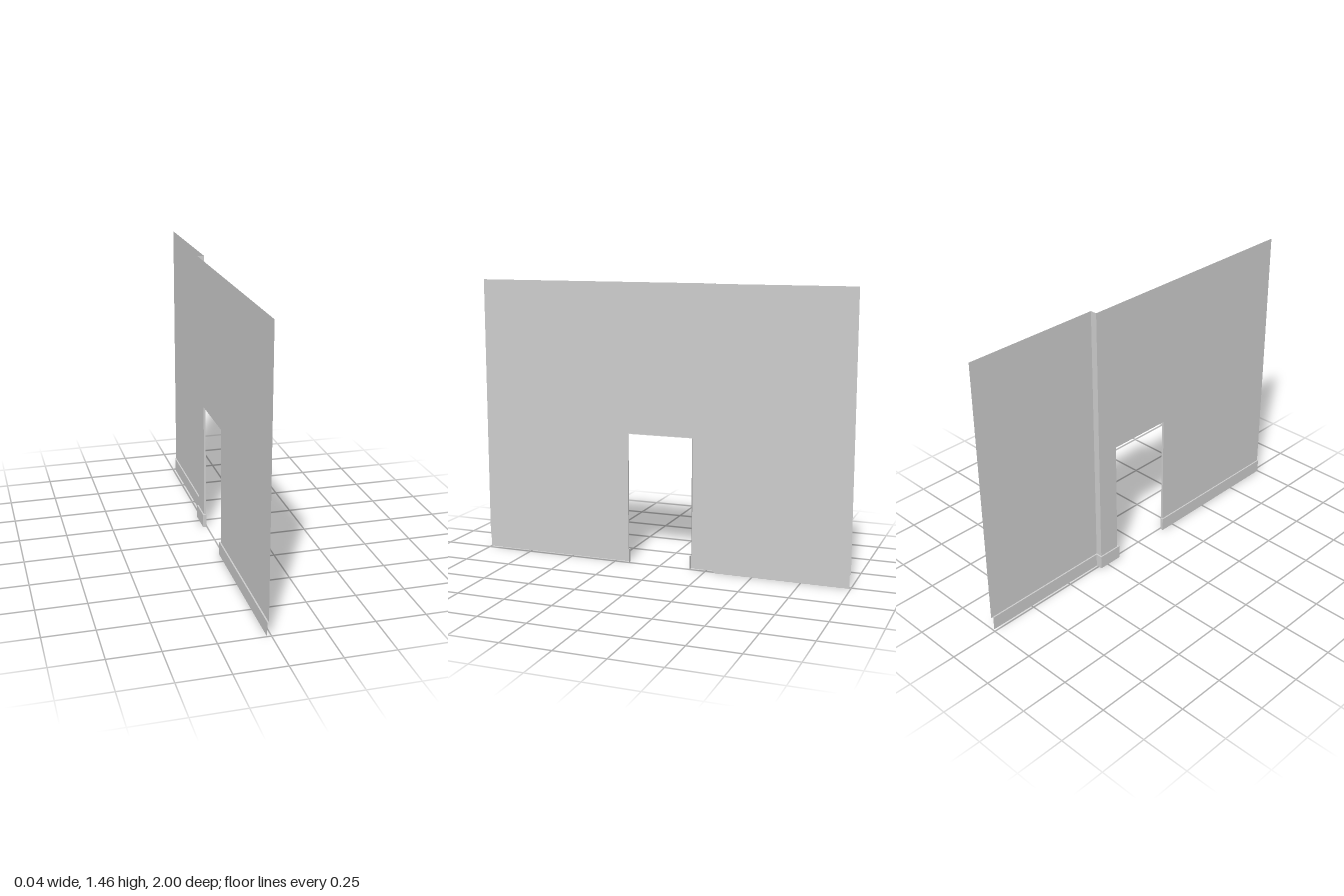
import * as THREE from 'three';

const H = 1.46, BASE = 0.072, DOOR = 0.685;
const WX = -0.0135, BX = -0.021, JX = -0.003; // wall face, skirting face, jamb edge
const STEP = 0.0345;                          // offset between the two wall planes

const plaster = new THREE.MeshStandardMaterial({ color: 0xcccccc, side: THREE.DoubleSide });
plaster.name = 'plaster grey';

// Plan lines as [x, z], one pair for each side of the doorway
const wallFront = [[WX, 1], [WX, 0.176], [JX, 0.176]];
const wallBack = [[JX, -0.173], [WX, -0.173], [WX, -0.29], [WX + STEP, -0.29], [WX + STEP, -1]];
const baseFront = [[BX, 1], [BX, 0.172], [JX, 0.172]];
const baseBack = [[JX, -0.164], [BX, -0.164], [BX, -0.298], [BX + STEP, -0.298], [BX + STEP, -0.993]];

// Flat-faced strip joining two plan lines, each at its own height
function strip(lower, y0, upper, y1) {
  const p = [];
  for (let i = 0; i < lower.length - 1; i++) {
    const a = [lower[i][0], y0, lower[i][1]], b = [lower[i + 1][0], y0, lower[i + 1][1]];
    const c = [upper[i + 1][0], y1, upper[i + 1][1]], d = [upper[i][0], y1, upper[i][1]];
    p.push(...a, ...c, ...b, ...a, ...d, ...c);
  }
  const g = new THREE.BufferGeometry();
  g.setAttribute('position', new THREE.Float32BufferAttribute(p, 3));
  g.computeVertexNormals();
  return g;
}

export function createModel() {
  const group = new THREE.Group();
  group.name = 'wallWithDoorway';
  const add = (name, geometry) => {
    const mesh = new THREE.Mesh(geometry, plaster);
    mesh.name = name;
    group.add(mesh);
  };

  // Main wall sheet, notched for the doorway
  const outline = [[-0.29, BASE], [-0.173, BASE], [-0.173, DOOR], [0.176, DOOR], [0.176, BASE],
    [1, BASE], [1, H], [-0.29, H]].map(([z, y]) => new THREE.Vector2(z, y));
  add('mainWall', new THREE.ShapeGeometry(new THREE.Shape(outline)).rotateY(-Math.PI / 2).translate(WX, 0, 0));

  // Return and offset wall
  const offset = wallBack.slice(2);
  add('offsetWall', strip(offset, BASE, offset, H));

  // Door jambs and head
  const jambs = { frontJamb: wallFront.slice(1), backJamb: wallBack.slice(0, 2) };
  for (const [name, line] of Object.entries(jambs)) add(name, strip(line, BASE, line, DOOR));
  add('doorHead', strip([[WX, 0.176], [WX, -0.173]], DOOR, [[JX, 0.176], [JX, -0.173]], DOOR));

  // Skirting boards with their top ledges
  for (const [side, base, wall] of [['front', baseFront, wallFront], ['back', baseBack, wallBack]]) {
    add(side + 'Skirting', strip(base, 0, base, BASE));
    add(side + 'SkirtingLedge', strip(base, BASE, wall, BASE));
  }
  return group;
}
